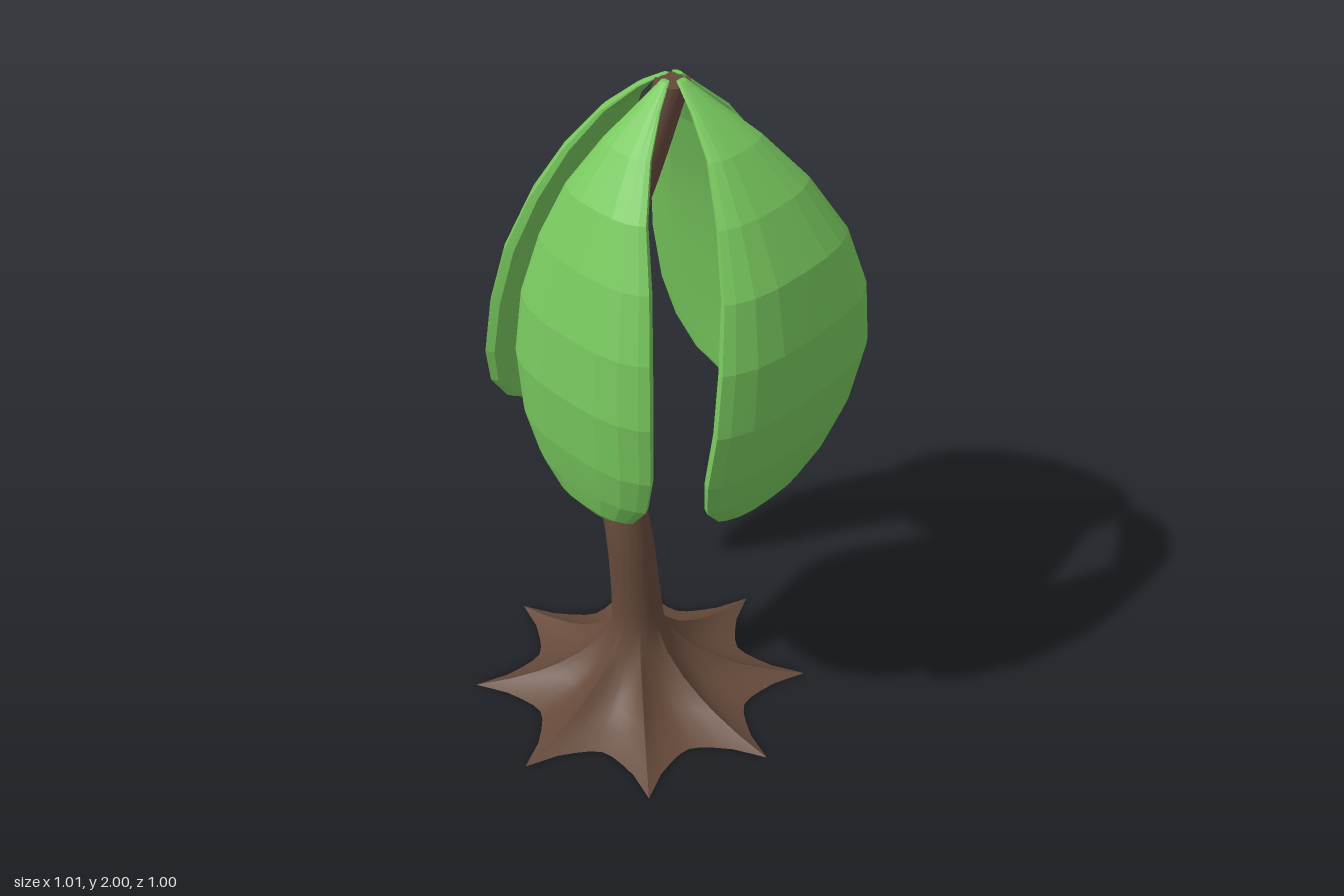
import * as THREE from 'three';
import { toCreasedNormals } from 'three/addons/utils/BufferGeometryUtils.js';

// Closed skin through rings of points, listed bottom to top, with fan caps
function loft(rings) {
  const n = rings[0].length, pos = [], idx = [];
  rings.forEach(r => r.forEach(p => pos.push(p.x, p.y, p.z)));
  for (let i = 0; i < rings.length - 1; i++) {
    for (let j = 0; j < n; j++) {
      const a = i * n + j, b = i * n + (j + 1) % n;
      idx.push(a, a + n, b, b, a + n, b + n);
    }
  }
  [0, rings.length - 1].forEach((row, top) => {
    const c = rings[row].reduce((s, p) => s.add(p), new THREE.Vector3()).divideScalar(n);
    const ci = pos.length / 3;
    pos.push(c.x, c.y, c.z);
    for (let j = 0; j < n; j++) {
      const a = row * n + j, b = row * n + (j + 1) % n;
      if (top) idx.push(ci, b, a); else idx.push(ci, a, b);
    }
  });
  const g = new THREE.BufferGeometry();
  g.setAttribute('position', new THREE.Float32BufferAttribute(pos, 3));
  g.setIndex(idx);
  return g;
}

// Trunk with eight pointed roots, swept along a bent centre line
function trunkGeometry() {
  // y, valley radius, root tip radius
  const roots = [[0, 0.32, 0.482], [0.02, 0.26, 0.38], [0.05, 0.2, 0.29], [0.08, 0.165, 0.23],
    [0.12, 0.13, 0.17], [0.18, 0.095, 0.11]];
  const path = new THREE.CatmullRomCurve3([[-0.025, 0.25, 0.03], [-0.028, 0.4, 0.04],
    [-0.043, 0.6, 0.052], [-0.11, 0.8, 0.042], [-0.155, 0.95, 0.055], [-0.165, 1.1, 0.078],
    [-0.135, 1.27, 0.092], [-0.068, 1.5, 0.073], [0, 1.75, 0.03], [0.05, 1.99, -0.02]]
    .map(p => new THREE.Vector3(...p)));
  // Share of the root reach at each step from one tip to the next
  const sides = 64, share = [1, 0.45, 0.21, 0.06, 0, 0.06, 0.21, 0.45];
  const ring = (c, low, high) => Array.from({ length: sides }, (_, j) => {
    const a = j / sides * Math.PI * 2, r = low + (high - low) * share[j % 8];
    return new THREE.Vector3(c.x + r * Math.cos(a), c.y, c.z + r * Math.sin(a));
  });
  const rings = roots.map(([y, low, high]) =>
    ring(new THREE.Vector3(-0.025, y, 0.02 + y * 0.04), low, high));
  for (let i = 0; i <= 24; i++) {
    const t = i / 24, r = 0.075 - 0.03 * Math.pow(t, 0.7);
    rings.push(ring(path.getPoint(t), r, r));
  }
  return toCreasedNormals(loft(rings), 0.7);
}

// Shared leaf rows: height, relative half width, thickness
const rows = [[2, 0.05, 0.015], [1.95, 0.15, 0.026], [1.87, 0.33, 0.042], [1.75, 0.57, 0.065],
  [1.6, 0.79, 0.09], [1.43, 0.94, 0.104], [1.25, 1, 0.106], [1.07, 0.96, 0.1],
  [0.95, 0.82, 0.088], [0.87, 0.57, 0.066], [0.83, 0.25, 0.025]];

// Hanging leaf pad with rounded rims; reach is each row's distance from the crown
function leafGeometry({ angle, width, shift = 0, roll = 0, reach }) {
  const o = new THREE.Vector3(Math.sin(angle), 0, Math.cos(angle));
  const l = new THREE.Vector3(Math.cos(angle), 0, -Math.sin(angle));
  const us = [1, 0.9, 0.7, 0.4, 0, -0.4, -0.7, -0.9, -1];
  const rings = rows.map(([y, w, thick], i) => {
    const r = reach[i];
    const point = (u, depth) => new THREE.Vector3(0.05, y, -0.02)
      .addScaledVector(l, u * w * width + shift * r)
      .addScaledVector(o, r + roll * u * w * width - depth);
    return [
      ...us.map(u => point(u, 0.56 * thick * (0.2 * u * u + 0.8 * u ** 4))),
      ...[...us].reverse().map(u => point(u * 0.95, thick * (1 - 0.2 * u ** 4))),
    ];
  });
  return loft(rings.reverse());
}

const leaves = [
  { name: 'frontLeaf', angle: 0, width: 0.25, roll: 0.07,
    reach: [0.035, 0.1, 0.19, 0.28, 0.34, 0.385, 0.4, 0.385, 0.36, 0.335, 0.305] },
  { name: 'leftLeaf', angle: Math.PI / 2, width: 0.3, shift: 0.06,
    reach: [0.035, 0.11, 0.215, 0.32, 0.408, 0.45, 0.453, 0.415, 0.375, 0.34, 0.3] },
  { name: 'backLeaf', angle: Math.PI, width: 0.308, shift: 0.215,
    reach: [0.035, 0.09, 0.18, 0.265, 0.345, 0.407, 0.445, 0.472, 0.48, 0.465, 0.43] },
  { name: 'rightLeaf', angle: -Math.PI / 2, width: 0.222, shift: -0.01,
    reach: [0.035, 0.11, 0.2, 0.295, 0.385, 0.46, 0.51, 0.545, 0.555, 0.54, 0.505] },
];

export function createModel() {
  const group = new THREE.Group();
  const bark = new THREE.MeshStandardMaterial({ color: 0x664a3b });
  bark.name = 'bark brown';
  const green = new THREE.MeshStandardMaterial({ color: 0x78c85e });
  green.name = 'leaf green';

  const trunk = new THREE.Mesh(trunkGeometry(), bark);
  trunk.name = 'trunk';
  group.add(trunk);

  for (const spec of leaves) {
    // Small crease angle keeps the broad facets visible
    const leaf = new THREE.Mesh(toCreasedNormals(leafGeometry(spec), 0.1), green);
    leaf.name = spec.name;
    group.add(leaf);
  }
  return group;
}
